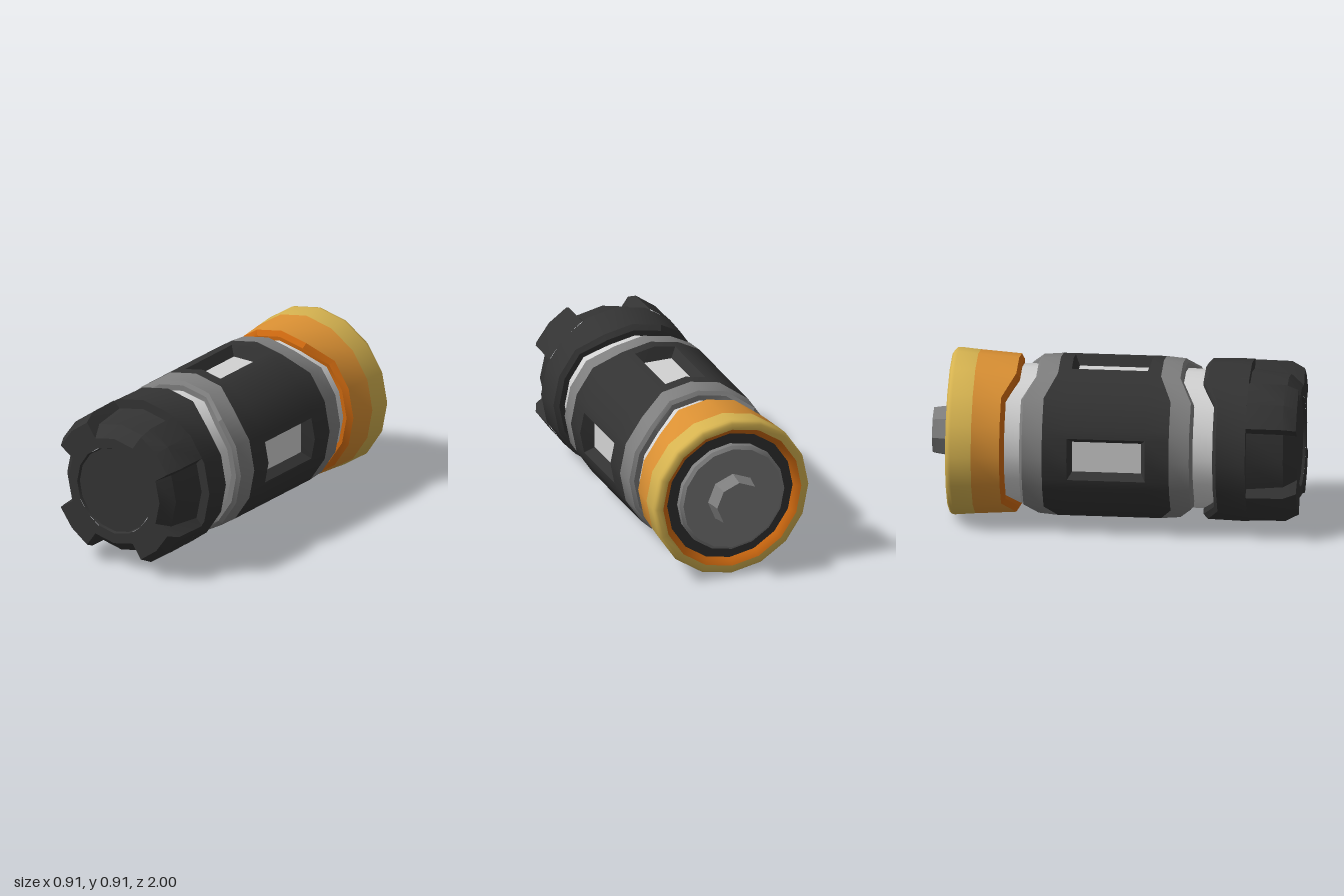
import * as THREE from 'three';
import { toCreasedNormals } from 'three/addons/utils/BufferGeometryUtils.js';

const mat = (name, color) => {
  const m = new THREE.MeshStandardMaterial({ color });
  m.name = name;
  return m;
};

const CENTRE = 0.4545;
const dir = (deg) => {
  const a = THREE.MathUtils.degToRad(deg);
  return { x: Math.sin(a), y: Math.cos(a), w: 0 };
};

// Regular cross-section; w marks the top and bottom columns whose edges step along z
function regularColumns(n) {
  return Array.from({ length: n }, (_, k) => ({
    ...dir((k * 360) / n),
    w: [0, 1, 7].includes(k % 8) ? 1 : 0,
  }));
}

// 16-sided section with extra columns at the sides of the four window openings
function windowColumns(f) {
  const base = regularColumns(16), out = [];
  base.forEach((c, k) => {
    const d = base[(k + 1) % 16];
    const mix = (t) => ({ x: c.x + (d.x - c.x) * t, y: c.y + (d.y - c.y) * t, w: c.w + (d.w - c.w) * t });
    out.push({ ...c, open: k % 4 === 0 });
    if (k % 4 === 0) out.push(mix(f));
    if (k % 4 === 3) out.push({ ...mix(1 - f), open: true });
  });
  return out;
}

// Section of the nose: four lugs with notch floors between them
function noseColumns() {
  const out = [];
  for (let q = 0; q < 4; q++) {
    for (const a of [-24.2, 0, 24.2]) out.push({ ...dir(q * 90 + a), floor: true });
    for (const a of [26.8, 45, 63.2]) out.push(dir(q * 90 + a));
  }
  return out;
}

function geometryFrom(pos, crease) {
  const g = new THREE.BufferGeometry();
  g.setAttribute('position', new THREE.Float32BufferAttribute(pos, 3));
  return toCreasedNormals(g, crease);
}

// Skin through rows [radius, z, z step at top and bottom, notch radius], from front to back
function ring(name, material, rows, cols = regularColumns(16), skipRow = -1, crease = 0.5) {
  const pos = [];
  const pt = ([r, z, dz = 0, f = r], c) => {
    const rad = c.floor ? f : r;
    return [c.x * rad, c.y * rad, z + dz * c.w];
  };
  for (let i = 0; i < rows.length - 1; i++) {
    cols.forEach((c0, j) => {
      if (i === skipRow && c0.open) return;
      const c1 = cols[(j + 1) % cols.length];
      const a = pt(rows[i], c0), b = pt(rows[i], c1);
      const c = pt(rows[i + 1], c1), d = pt(rows[i + 1], c0);
      if (rows[i][0] > 0) pos.push(...a, ...b, ...c);
      if (rows[i + 1][0] > 0) pos.push(...a, ...c, ...d);
    });
  }
  const mesh = new THREE.Mesh(geometryFrom(pos, crease), material);
  mesh.name = name;
  return mesh;
}

export function createModel() {
  const dark = mat('dark casing', 0x333333);
  const grey = mat('mid grey', 0x7e7e7e);
  const white = mat('light grey', 0xd2d2d2);
  const orange = mat('orange', 0xda9033);
  const yellow = mat('yellow', 0xd6b350);
  const deep = mat('deep orange', 0xd06a10);

  const model = new THREE.Group();
  model.name = 'batteryCell';
  const cell = new THREE.Group();
  cell.name = 'cell';
  cell.position.y = CENTRE;
  model.add(cell);

  // Front cap: notched nose with a shallow recessed disc, then the collar
  cell.add(
    ring('noseDisc', dark, [[0, 0.985], [0.24, 0.985], [0.247, 1]]),
    ring('nose', dark, [
      [0.247, 1], [0.4, 1, 0, 0.305], [0.437, 0.93, 0, 0.365], [0.44, 0.73, 0, 0.39],
    ], noseColumns()),
    ring('frontCollar', dark, [
      [0.36, 0.73], [0.442, 0.73], [0.436, 0.57, -0.065], [0.41, 0.55, -0.07], [0.36, 0.55, -0.07],
    ]),
  );

  // Light core showing in the two gaps
  cell.add(
    ring('frontCore', white, [[0.378, 0.62], [0.378, 0.28]]),
    ring('rearCore', white, [[0.378, -0.32], [0.378, -0.7]]),
  );

  // Main casing with four window openings
  const z1 = 0.185, z2 = -0.24, half = 0.118, R = 0.44;
  const vx = R * Math.sin(Math.PI / 8), vy = R * Math.cos(Math.PI / 8);
  const f = half / vx, edgeY = R + (vy - R) * f;
  cell.add(
    ring('casing', dark, [
      [R, 0.315, -0.065], [R, z1], [R, z2], [R, -0.375, 0.065],
    ], windowColumns(f), 1),
    ring('frontBand', grey, [
      [0.365, 0.44, -0.07], [0.41, 0.44, -0.07], [0.431, 0.425, -0.07], [R, 0.315, -0.065],
    ]),
    ring('rearBand', grey, [
      [R, -0.375, 0.065], [0.431, -0.485, 0.07], [0.41, -0.5, 0.07], [0.365, -0.5, 0.07],
    ]),
  );

  // Windows: sloped recess walls around a flat light panel
  const px = 0.085, pTop = 0.16, pBottom = -0.215, depth = 0.365;
  const outer = [
    [-half, edgeY, z1], [0, R, z1], [half, edgeY, z1],
    [half, edgeY, z2], [0, R, z2], [-half, edgeY, z2],
  ];
  const inner = outer.map(([x, , z]) => [Math.sign(x) * px, depth, z > 0 ? pTop : pBottom]);
  const wall = [];
  outer.forEach((a, i) => {
    const n = (i + 1) % outer.length;
    wall.push(...a, ...outer[n], ...inner[n], ...a, ...inner[n], ...inner[i]);
  });
  const wallGeometry = geometryFrom(wall, 0.3);
  const panelGeometry = new THREE.PlaneGeometry(px * 2, pTop - pBottom).rotateX(-Math.PI / 2);
  for (let q = 0; q < 4; q++) {
    const win = new THREE.Group();
    win.name = 'window';
    const frame = new THREE.Mesh(wallGeometry, dark);
    frame.name = 'windowRecess';
    const panel = new THREE.Mesh(panelGeometry, white);
    panel.name = 'windowPanel';
    panel.position.set(0, depth, (pTop + pBottom) / 2);
    win.add(frame, panel);
    win.rotation.z = (q * Math.PI) / 2;
    cell.add(win);
  }

  // Flared rear cap with a rounded lip
  cell.add(
    ring('rearCapFrontEdge', deep, [[0.365, -0.585, 0.065], [0.4, -0.585, 0.065], [0.43, -0.607, 0.07]]),
    ring('rearCap', orange, [[0.43, -0.607, 0.07], [0.445, -0.76]]),
    ring('rearCapLip', yellow, [
      [0.445, -0.76], [0.4545, -0.87], [0.451, -0.888], [0.438, -0.9], [0.405, -0.9],
    ], undefined, -1, 0.9),
    ring('rearCapInside', deep, [[0.405, -0.9], [0.38, -0.885], [0.362, -0.855]], undefined, -1, 0.9),
  );

  // End plate and terminal
  cell.add(
    ring('sealRing', dark, [[0.37, -0.865], [0.3, -0.865]]),
    ring('endPlate', grey, [[0.31, -0.86], [0.308, -0.893], [0.29, -0.908], [0, -0.908]]),
    ring('terminal', grey, [[0.148, -0.9], [0.14, -0.935], [0.13, -1], [0, -1]], regularColumns(8)),
  );
  return model;
}
